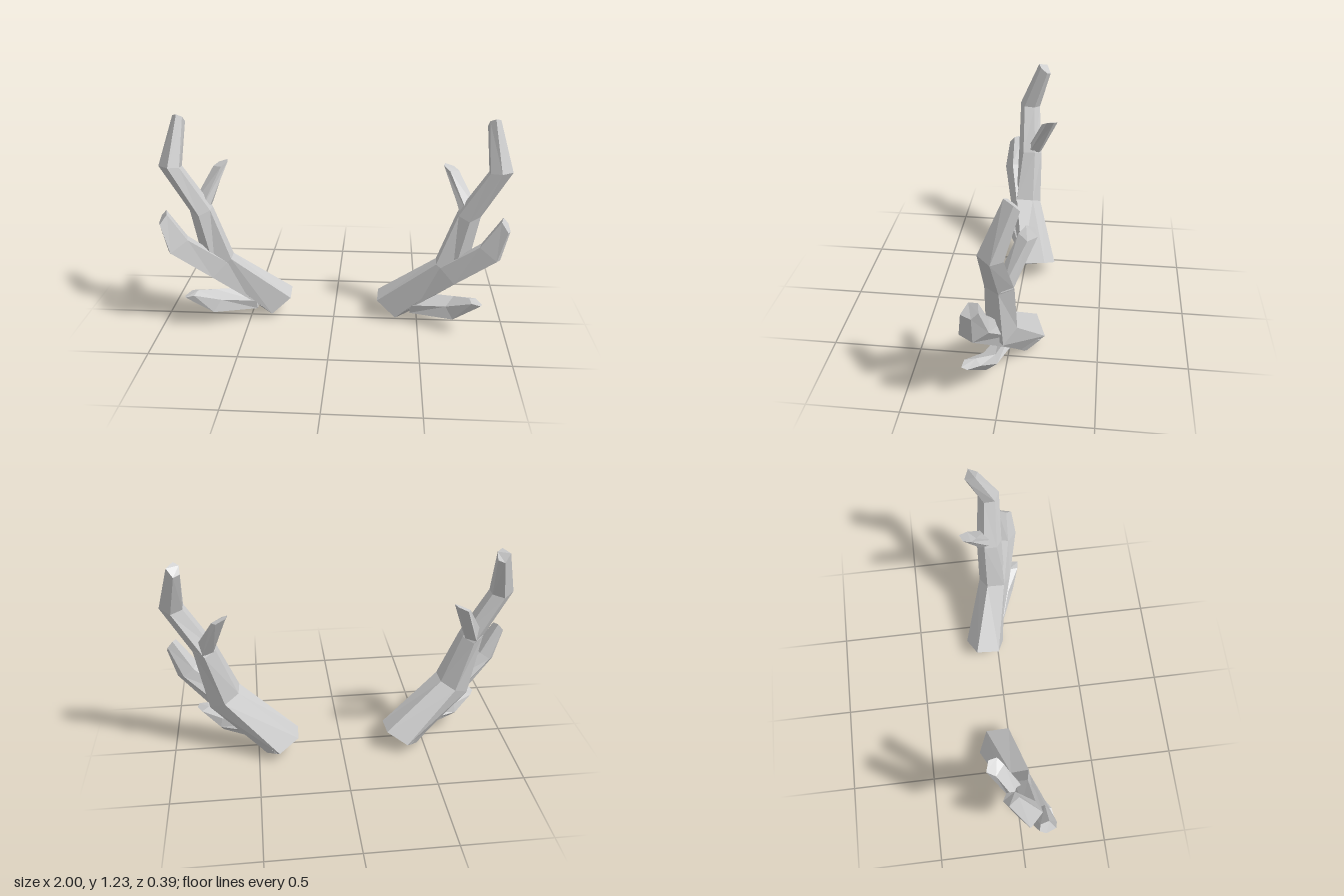
import * as THREE from 'three';

// Each branch is a chain of five-sided rings, ordered:
// inner front, inner back, back, outer, front
const branches = {
  mainBeam: [
    [[.26, .12, 0], [.265, .13, -.14], [.38, .065, -.197], [.45, .003, -.09], [.37, .03, .04]],
    [[.595, .4, .075], [.6, .395, -.03], [.68, .35, -.073], [.77, .3, -.01], [.69, .33, .09]],
    [[.71, .69, .045], [.71, .69, -.03], [.77, .66, -.07], [.84, .67, 0], [.77, .665, .08]],
    [[.87, .945, .055], [.87, .94, -.01], [.935, .925, -.04], [1, .942, .015], [.93, .95, .085]],
    [[.86, 1.215, -.05], [.855, 1.18, -.09], [.89, 1.17, -.11], [.925, 1.215, -.085], [.89, 1.23, -.035]],
  ],
  outerTine: [
    [[.3, .11, -.02], [.31, .12, -.12], [.4, .052, -.175], [.455, .012, -.1], [.38, .035, .02]],
    [[.62, .38, .08], [.65, .37, 0], [.7, .31, -.03], [.73, .26, .01], [.7, .3, .125]],
    [[.83, .535, .13], [.85, .53, .05], [.91, .49, .04], [.95, .455, .115], [.92, .475, .188]],
    [[.94, .69, .13], [.955, .7, .08], [.985, .665, .075], [.995, .63, .11], [.975, .64, .165]],
  ],
  rearTine: [
    [[.72, .7, 0], [.72, .69, -.055], [.785, .67, -.065], [.84, .68, -.01], [.77, .68, .03]],
    [[.625, .94, -.11], [.635, .94, -.155], [.69, .918, -.173], [.715, .905, -.125], [.66, .915, -.077]],
  ],
  browTine: [
    [[.5, .175, -.02], [.5, .13, -.05], [.46, .062, -.04], [.455, .065, .04], [.46, .12, .05]],
    [[.71, .185, .04], [.72, .13, .03], [.71, .073, .09], [.7, .085, .145], [.66, .15, .11]],
    [[.79, .218, .13], [.83, .205, .1], [.86, .197, .165], [.85, .203, .198], [.8, .212, .19]],
  ],
};

// Flat-faced skin over a chain of rings, closed at both ends
function loft(rings, side) {
  const r = rings.map(ring => ring.map(([x, y, z]) => new THREE.Vector3(x * side, y, z)));
  const tris = [];
  const n = r[0].length;
  for (let i = 0; i < r.length - 1; i++) {
    for (let j = 0; j < n; j++) {
      const k = (j + 1) % n;
      tris.push([r[i][j], r[i][k], r[i + 1][k]], [r[i][j], r[i + 1][k], r[i + 1][j]]);
    }
  }
  const last = r[r.length - 1];
  for (let j = 1; j < n - 1; j++) {
    tris.push([r[0][0], r[0][j + 1], r[0][j]], [last[0], last[j], last[j + 1]]);
  }
  // Turn all faces outward, using the sign of the enclosed volume
  let volume = 0;
  const cross = new THREE.Vector3();
  for (const [a, b, c] of tris) volume += a.dot(cross.crossVectors(b, c));
  if (volume < 0) tris.forEach(t => t.reverse());

  const geometry = new THREE.BufferGeometry().setFromPoints(tris.flat());
  geometry.computeVertexNormals();
  return geometry;
}

export function createModel() {
  const model = new THREE.Group();
  model.name = 'antlers';
  const bone = new THREE.MeshStandardMaterial({ color: 0xcccccc, flatShading: true });
  bone.name = 'pale grey bone';

  // Mirrored pair
  for (const [name, side] of [['leftAntler', 1], ['rightAntler', -1]]) {
    const antler = new THREE.Group();
    antler.name = name;
    for (const [part, rings] of Object.entries(branches)) {
      const mesh = new THREE.Mesh(loft(rings, side), bone);
      mesh.name = part;
      antler.add(mesh);
    }
    model.add(antler);
  }
  return model;
}
